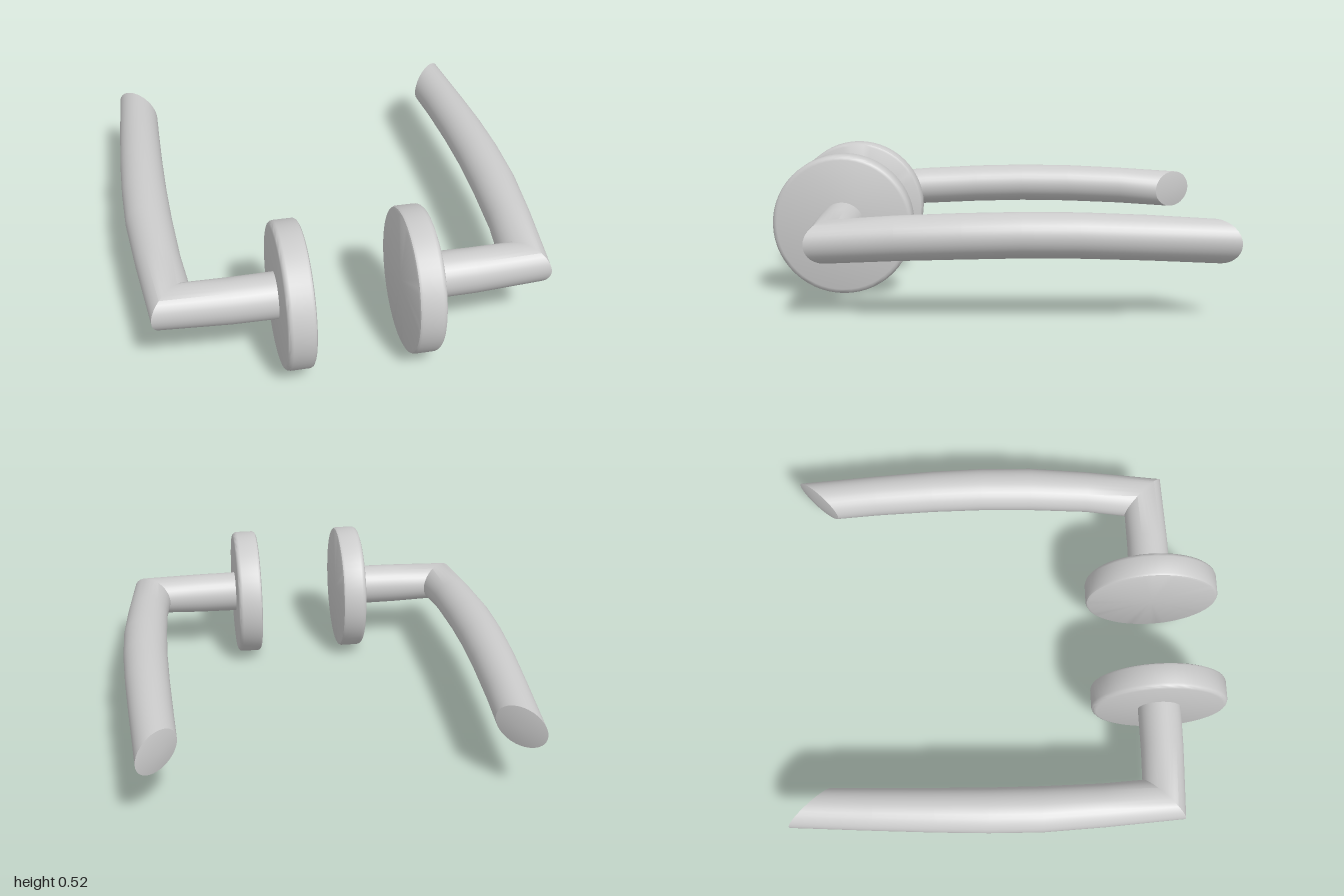
import * as THREE from 'three';
import { toCreasedNormals } from 'three/addons/utils/BufferGeometryUtils.js';

const SIDES = 32;
const material = new THREE.MeshStandardMaterial({ color: 0xcccccc });

// Bar sections: centre x, y, z, then half-extents in x, y, z of the (possibly slanted) ring
const SECTIONS = [
  [0, 0.265, 0.05, 0.083, 0.084, 0], // neck, inside the rose
  [0, 0.265, 0.26, 0.081, 0.082, 0],
  [-0.007, 0.268, 0.46, 0.077, 0.076, 0.075], // mitred corner
  [-0.24, 0.284, 0.482, 0, 0.078, 0.082],
  [-0.47, 0.293, 0.494, 0, 0.079, 0.086],
  [-0.67, 0.297, 0.495, 0, 0.079, 0.085],
  [-0.87, 0.295, 0.49, 0, 0.079, 0.083],
  [-1.1, 0.286, 0.48, 0, 0.078, 0.08],
  [-1.338, 0.272, 0.467, -0.079, 0.077, 0.073], // slanted tip
];

// side = 1 or -1 mirrors the geometry in z
function finish(geometry, side) {
  let g = geometry.index ? geometry.toNonIndexed() : geometry;
  g.deleteAttribute('normal');
  if (side < 0) {
    const p = g.attributes.position;
    const a = new THREE.Vector3(), b = new THREE.Vector3();
    for (let i = 0; i < p.count; i++) p.setZ(i, -p.getZ(i));
    for (let i = 0; i < p.count; i += 3) {
      a.fromBufferAttribute(p, i + 1);
      b.fromBufferAttribute(p, i + 2);
      p.setXYZ(i + 1, b.x, b.y, b.z);
      p.setXYZ(i + 2, a.x, a.y, a.z);
    }
  }
  return toCreasedNormals(g, 0.6);
}

// Neck and lever as one loft, closed by a slightly domed slanted tip
function barGeometry() {
  const pos = [], index = [];
  const last = SECTIONS.length - 1;
  for (const [x, y, z, rx, ry, rz] of SECTIONS) {
    for (let j = 0; j < SIDES; j++) {
      const t = (j / SIDES) * Math.PI * 2;
      pos.push(x + rx * Math.cos(t), y + ry * Math.sin(t), z + rz * Math.cos(t));
    }
  }
  const [tx, ty, tz] = SECTIONS[last];
  pos.push(tx - 0.01, ty, tz - 0.01);
  const centre = SIDES * (last + 1);
  for (let j = 0; j < SIDES; j++) {
    const k = (j + 1) % SIDES;
    for (let i = 0; i < last; i++) {
      const a = i * SIDES, b = a + SIDES;
      index.push(a + j, a + k, b + k, a + j, b + k, b + j);
    }
    index.push(last * SIDES + j, last * SIDES + k, centre);
  }
  const g = new THREE.BufferGeometry();
  g.setAttribute('position', new THREE.Float32BufferAttribute(pos, 3));
  g.setIndex(index);
  return g;
}

// Round plate with softened rims, axis along z
function roseGeometry() {
  const profile = [
    [0, 0], [0.25, 0], [0.258, 0.004], [0.262, 0.012],
    [0.262, 0.082], [0.259, 0.091], [0.253, 0.097], [0.244, 0.1], [0, 0.1],
  ].map(([r, h]) => new THREE.Vector2(r, h));
  const g = new THREE.LatheGeometry(profile, 56);
  g.rotateX(Math.PI / 2);
  g.translate(0, 0.262, 0);
  return g;
}

function handle(name, side, x, z) {
  const group = new THREE.Group();
  group.name = name;
  const rose = new THREE.Mesh(finish(roseGeometry(), side), material);
  rose.name = 'rose';
  const lever = new THREE.Mesh(finish(barGeometry(), side), material);
  lever.name = 'lever';
  group.add(rose, lever);
  group.position.set(x, 0, z);
  group.rotation.y = THREE.MathUtils.degToRad(-29.5);
  return group;
}

export function createModel() {
  const model = new THREE.Group();
  model.name = 'doorHandles';
  model.add(handle('frontHandle', 1, 0.502, 0.48));
  model.add(handle('backHandle', -1, 0.672, 0.178));
  return model;
}
